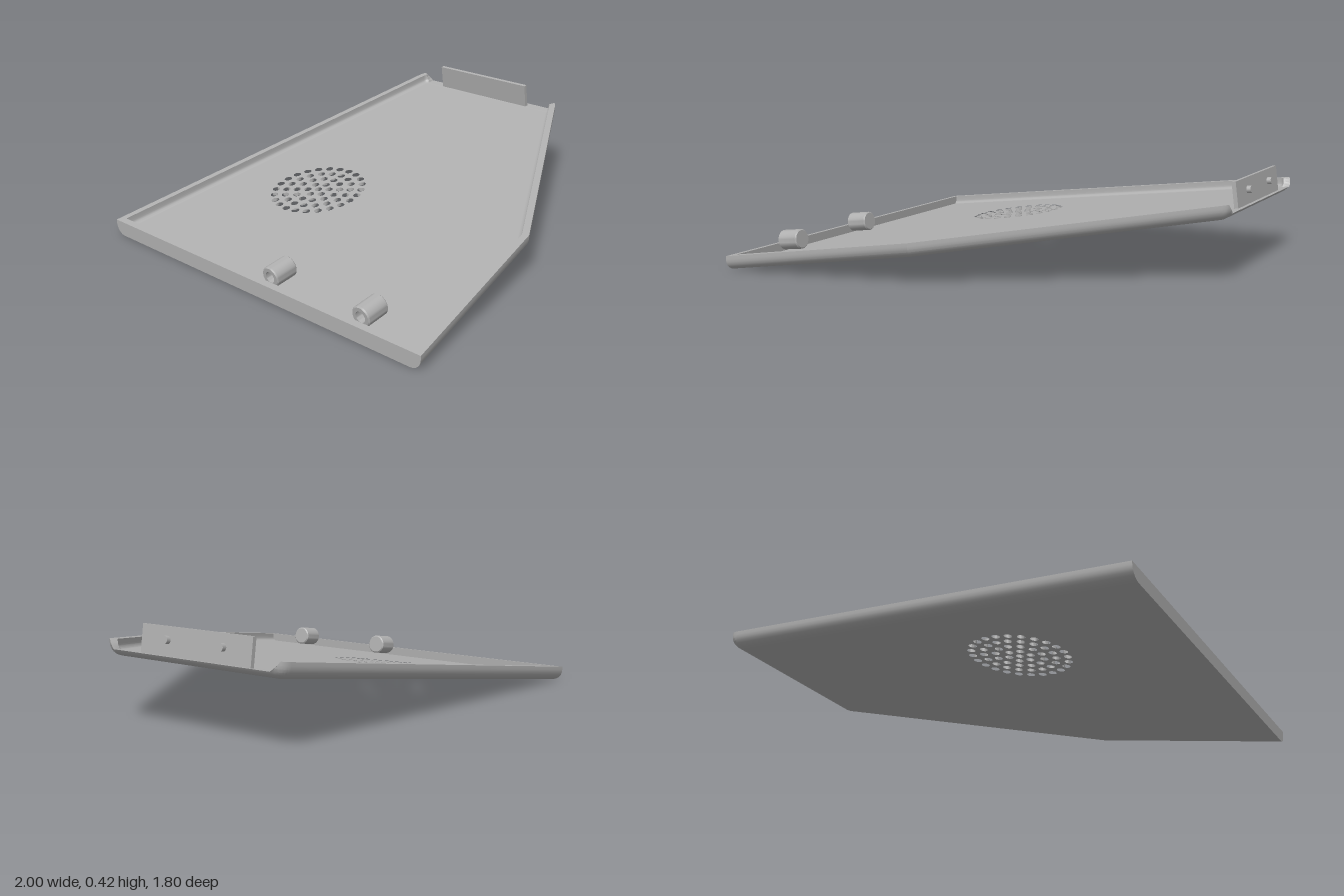
import * as THREE from 'three';
import { toCreasedNormals } from 'three/addons/utils/BufferGeometryUtils.js';

const SLOPE = 0.14, WALL = 0.03, HEIGHT = 0.065, FLOOR = 0.025, FILLET = 0.05;
const TILT = Math.atan(SLOPE);
const baseY = (x) => SLOPE * (x + 1);

// Plan outline as [x, z, rounded]; the last edge is the straight left end
const CORNERS = [[-1, -0.905, 0], [1, -0.78, 1], [1, 0.094, 1], [-0.14, 0.745, 0], [-1, 0.9, 0]];

// Outline moved inwards by d (dLeft on the left edge), with rounded right corners
function insetOutline(d, dLeft) {
  const n = CORNERS.length;
  const edges = CORNERS.map((p, i) => {
    const q = CORNERS[(i + 1) % n];
    const dir = new THREE.Vector2(q[0] - p[0], q[1] - p[1]).normalize();
    const off = i === n - 1 ? dLeft : d;
    return { dir, p: new THREE.Vector2(p[0] - dir.y * off, p[1] + dir.x * off) };
  });
  const points = [];
  CORNERS.forEach((c, i) => {
    const a = edges[(i + n - 1) % n], b = edges[i];
    const t = b.p.clone().sub(a.p).cross(b.dir) / a.dir.cross(b.dir);
    const corner = a.p.clone().addScaledVector(a.dir, t);
    if (!c[2]) {
      points.push({ x: corner.x, z: corner.y, limit: HEIGHT });
      return;
    }
    const r = Math.max(0.055 - d, 0.004);
    const len = r * Math.tan(Math.acos(a.dir.dot(b.dir)) / 2);
    const arc = new THREE.QuadraticBezierCurve(
      corner.clone().addScaledVector(a.dir, -len), corner,
      corner.clone().addScaledVector(b.dir, len));
    arc.getPoints(6).forEach((p, k) => {
      // The rim drops to floor level along the right edge
      const s = i === 1 ? k / 6 : 1 - k / 6;
      const drop = Math.max(0, s - 0.5) * 2;
      points.push({ x: p.x, z: p.y, limit: HEIGHT + (FLOOR - HEIGHT) * drop });
    });
  });
  return points;
}

// Rim: cross-section of [inset, left inset, height] swept round the outline
function rimGeometry() {
  const section = [[FILLET, WALL, 0]];
  for (let k = 0; k <= 6; k++) {
    const a = (k / 6) * Math.PI / 2;
    section.push([FILLET * (1 - Math.sin(a)), 0, FILLET * (1 - Math.cos(a))]);
  }
  section.push([0, 0, HEIGHT], [WALL, WALL, HEIGHT]);
  for (let k = 0; k <= 6; k++) {
    const a = (k / 6) * Math.PI / 2;
    section.push([WALL + 0.02 * (1 - Math.cos(a)), WALL, FLOOR + 0.02 * (1 - Math.sin(a))]);
  }
  const pos = [], index = [];
  let n = 0;
  section.forEach(([d, dl, h]) => {
    const loop = insetOutline(d, dl);
    n = loop.length;
    loop.forEach((p) => pos.push(p.x, baseY(p.x) + Math.min(h, p.limit), p.z));
  });
  for (let j = 0; j < section.length - 1; j++) {
    for (let i = 0; i < n; i++) {
      const i2 = (i + 1) % n;
      const a = j * n + i, b = a + n, c = j * n + i2, e = c + n;
      index.push(a, b, c, c, b, e);
    }
  }
  const g = new THREE.BufferGeometry();
  g.setAttribute('position', new THREE.Float32BufferAttribute(pos, 3));
  g.setIndex(index);
  return toCreasedNormals(g, 0.32);
}

// Sloping floor with rings of round vent holes
function floorGeometry() {
  const shape = new THREE.Shape(insetOutline(FILLET, WALL).map((p) => new THREE.Vector2(p.x, -p.z)));
  for (let ring = 0; ring <= 4; ring++) {
    const count = ring === 0 ? 1 : ring * 6;
    for (let k = 0; k < count; k++) {
      const a = (k / count) * Math.PI * 2;
      const hole = new THREE.Path();
      hole.absarc(-0.26 + 0.051 * ring * Math.cos(a), 0.365 + 0.051 * ring * Math.sin(a),
        0.0175, 0, Math.PI * 2, true);
      shape.holes.push(hole);
    }
  }
  const g = new THREE.ExtrudeGeometry(shape, { depth: FLOOR, bevelEnabled: false, curveSegments: 8 });
  g.rotateX(-Math.PI / 2);
  const p = g.attributes.position;
  for (let i = 0; i < p.count; i++) p.setY(i, p.getY(i) + baseY(p.getX(i)));
  return toCreasedNormals(g, 0.9);
}

export function createModel() {
  const grey = new THREE.MeshStandardMaterial({ color: 0xb0b0b0 });
  grey.name = 'grey plastic';
  const model = new THREE.Group();
  model.name = 'ventedCover';
  const add = (name, geometry, parent = model) => {
    const mesh = new THREE.Mesh(geometry, grey);
    mesh.name = name;
    parent.add(mesh);
    return mesh;
  };

  add('rim', rimGeometry());
  add('ventedFloor', floorGeometry());

  // Hinge bosses: cylinders with a blind bore opening to the left end
  const bossProfile = [[0, -0.054], [0.04, -0.054], [0.045, -0.049], [0.045, 0.049], [0.04, 0.054],
    [0.024, 0.054], [0.024, -0.02], [0, -0.02]].map(([r, y]) => new THREE.Vector2(r, y));
  const bossGeometry = toCreasedNormals(new THREE.LatheGeometry(bossProfile, 32), 0.4);
  bossGeometry.rotateZ(Math.PI / 2);
  [0.075, 0.57].forEach((z) => {
    const boss = add('hingeBoss', bossGeometry);
    boss.position.set(-0.906, 0.09, z);
    boss.rotation.z = TILT;
  });

  // Mounting tab standing square to the floor, with two locating pins
  const tab = new THREE.Group();
  tab.name = 'mountingTab';
  tab.position.set(0.963, 0.352, -0.345);
  tab.rotation.z = TILT;
  model.add(tab);
  add('tabPlate', new THREE.BoxGeometry(0.018, 0.125, 0.555), tab);
  const pinGeometry = new THREE.CylinderGeometry(0.016, 0.016, 0.02, 12).rotateZ(Math.PI / 2);
  [-1, 1].forEach((side) => {
    add('locatingPin', pinGeometry, tab).position.set(0.018, 0.01, side * 0.14);
  });

  return model;
}
